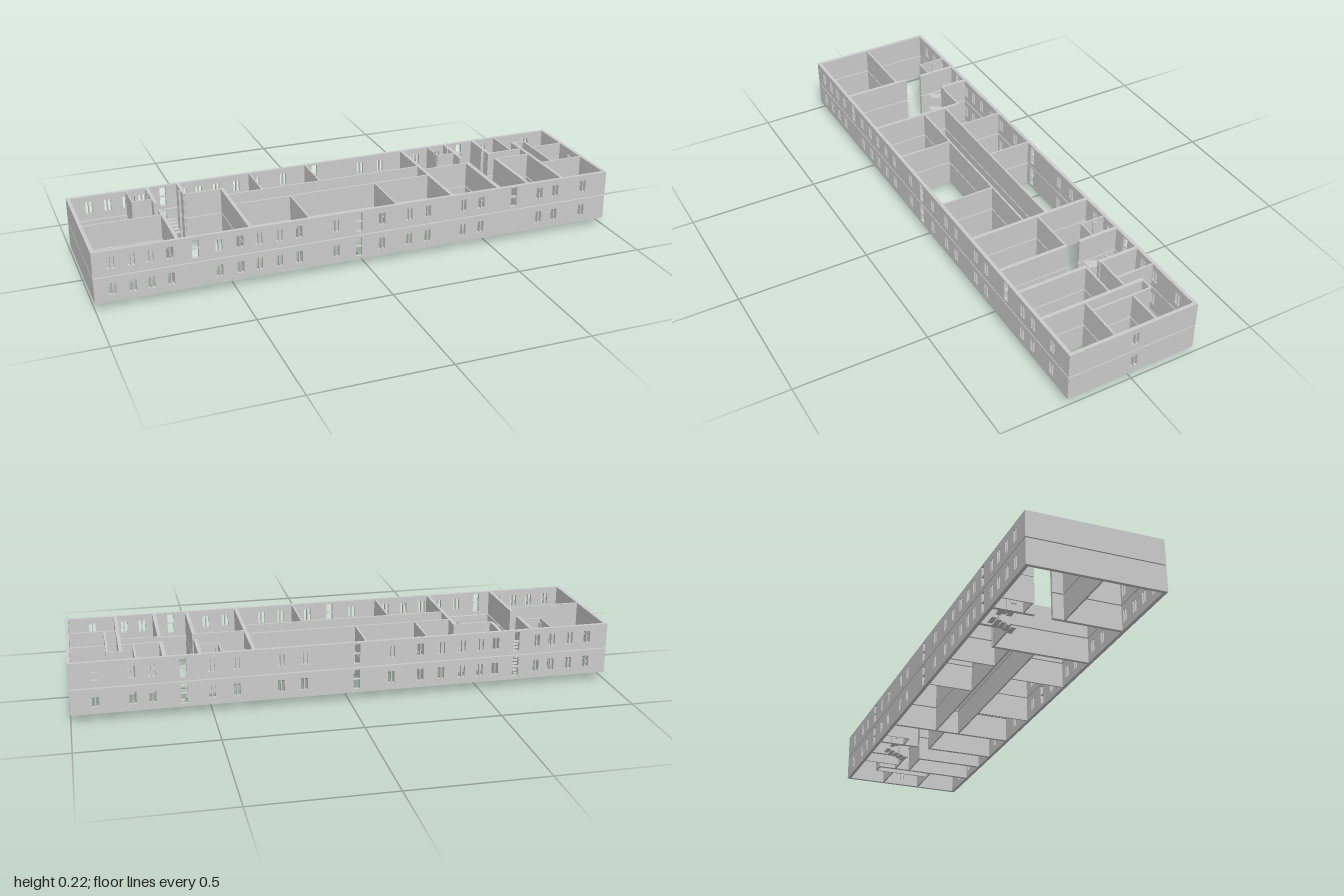
import * as THREE from 'three';

const material = new THREE.MeshStandardMaterial({ color: 0xcccccc, flatShading: true, side: THREE.DoubleSide });
const STOREYS = [0.028, 0.127];
const HEIGHT = 0.095;

function rectHole(x0, x1, y0, y1) {
  const p = new THREE.Path();
  p.moveTo(x0, y0);
  p.lineTo(x0, y1);
  p.lineTo(x1, y1);
  p.lineTo(x1, y0);
  p.closePath();
  return p;
}

// two narrow panes split by a mullion
const pairWindow = (c) => [
  rectHole(c - 0.0125, c - 0.002, 0.026, 0.072),
  rectHole(c + 0.002, c + 0.0125, 0.026, 0.072),
];

// tall opening split by a cross bar
const tallWindow = (c) => [
  rectHole(c - 0.012, c + 0.012, 0.013, 0.049),
  rectHole(c - 0.012, c + 0.012, 0.052, 0.088),
];

// upright wall from (x1, z1) to (x2, z2); holes are measured along it from its middle
function wall(name, x1, z1, x2, z2, thick, base, holes = [], drop = 0) {
  const half = Math.hypot(x2 - x1, z2 - z1) / 2;
  const shape = new THREE.Shape();
  shape.moveTo(-half, -drop);
  shape.lineTo(half, -drop);
  shape.lineTo(half, HEIGHT);
  shape.lineTo(-half, HEIGHT);
  shape.closePath();
  shape.holes.push(...holes);
  const geo = new THREE.ExtrudeGeometry(shape, { depth: thick, bevelEnabled: false });
  geo.translate(0, 0, -thick / 2);
  const mesh = new THREE.Mesh(geo, material);
  mesh.name = name;
  mesh.rotation.y = Math.atan2(-(z2 - z1), x2 - x1);
  mesh.position.set((x1 + x2) / 2, base, (z1 + z2) / 2);
  return mesh;
}

const FRONT_WINDOWS = [-0.935, -0.865, -0.8, -0.73, -0.556, -0.479, -0.41, -0.335, -0.26, -0.12,
  0.06, 0.168, 0.243, 0.388, 0.463, 0.71, 0.778, 0.898];
const BACK_WINDOWS = [-0.92, -0.85, -0.78, -0.72, -0.56, -0.5, -0.43, -0.35, -0.27, -0.16,
  0.165, 0.25, 0.41, 0.5, 0.71, 0.78, 0.91];
const STAIR_WINDOWS = [-0.64, 0.6];

const THICK = 0.013, THIN = 0.007;

// thick interior walls: x1, z1, x2, z2
const MAIN_WALLS = [
  [-0.7, -0.02, -0.7, 0.24], [-0.7, -0.235, -0.7, -0.085],
  [-0.58, -0.235, -0.58, -0.125], [-0.436, -0.13, -0.436, 0.24],
  [0.345, -0.238, 0.345, 0.24],
  [0.537, -0.03, 0.537, 0.24], [0.537, -0.24, 0.537, -0.08],
  [0.663, -0.03, 0.663, 0.24], [0.663, -0.24, 0.663, -0.08],
  [0.81, -0.16, 0.81, 0.24],
];

// thin partitions
const PARTITIONS = [
  [-0.99, 0.024, -0.7, 0.024],
  [-0.58, -0.125, -0.436, -0.125],
  [-0.436, -0.064, 0.345, -0.064], [-0.436, 0.03, 0.345, 0.03],
  [-0.297, -0.235, -0.297, -0.064], [-0.067, -0.235, -0.067, -0.064],
  [-0.217, 0.03, -0.217, 0.24], [0.12, 0.03, 0.12, 0.24],
  [0.345, -0.027, 0.537, -0.027], [0.663, -0.027, 0.81, -0.027],
  [0.762, -0.24, 0.762, -0.088], [0.663, -0.088, 0.81, -0.088],
  [0.81, -0.158, 0.858, -0.158], [0.858, -0.158, 0.858, 0.072],
  [0.858, -0.086, 0.99, -0.086], [0.81, 0.072, 0.99, 0.072],
];

// small rooms beside the stairs, reaching slightly lower
const CLOSETS = [
  [-0.778, -0.23, -0.778, -0.12], [-0.778, -0.125, -0.7, -0.125],
  [0.46, -0.235, 0.46, -0.14], [0.46, -0.14, 0.537, -0.14],
  [-0.755, -0.19, -0.755, -0.17], [-0.71, -0.185, -0.7, -0.185],
  [0.475, -0.195, 0.475, -0.18], [0.525, -0.19, 0.537, -0.19],
  [-0.595, -0.165, -0.58, -0.165], [0.645, -0.12, 0.663, -0.12],
];

function storey(base, upper) {
  const g = new THREE.Group();
  g.name = upper ? 'upperStorey' : 'lowerStorey';

  // outer shell
  const front = [...FRONT_WINDOWS.flatMap(pairWindow), ...tallWindow(-0.03)];
  if (upper) front.push(...STAIR_WINDOWS.flatMap(tallWindow));
  const back = [...BACK_WINDOWS.flatMap(pairWindow), ...[-0.03, ...STAIR_WINDOWS].flatMap(tallWindow)];
  g.add(
    wall('frontWall', -1, 0.243, 1, 0.243, THICK, base, front),
    wall('backWall', -1, -0.235, 1, -0.242, THICK, base, back),
    wall('leftEndWall', 0.9935, -0.248, 0.9935, 0.249, THICK, base, pairWindow(-0.006)),
    wall('rightEndWall', -0.9935, -0.241, -0.9935, 0.249, THICK, base),
  );

  // rooms and corridor
  for (const w of MAIN_WALLS) g.add(wall('mainWall', ...w, THICK, base));
  for (const w of PARTITIONS) g.add(wall('partition', ...w, THIN, base));
  for (const w of CLOSETS) g.add(wall('closetWall', ...w, THIN - 0.002, base, [], 0.002));
  return g;
}

// open staircase: alternating flights of floating treads
function staircase(name, x, zStart) {
  const g = new THREE.Group();
  g.name = name;
  const geo = new THREE.BoxGeometry(0.045, 0.0015, 0.018);
  for (let i = 0; i < 20; i++) {
    const flight = Math.floor(i / 5), k = i % 5;
    const tread = new THREE.Mesh(geo, material);
    tread.name = 'tread';
    const goingBack = flight % 2 === 0;
    tread.position.set(
      x + (goingBack ? 0.026 : -0.026),
      0.00075 + i * 0.0065,
      goingBack ? zStart - k * 0.017 : zStart - 0.06 + k * 0.017,
    );
    g.add(tread);
  }
  return g;
}

export function createModel() {
  const model = new THREE.Group();
  model.name = 'building';
  STOREYS.forEach((base, i) => model.add(storey(base, i === 1)));
  model.add(staircase('rightStair', -0.65, -0.135), staircase('leftStair', 0.588, -0.115));
  return model;
}
